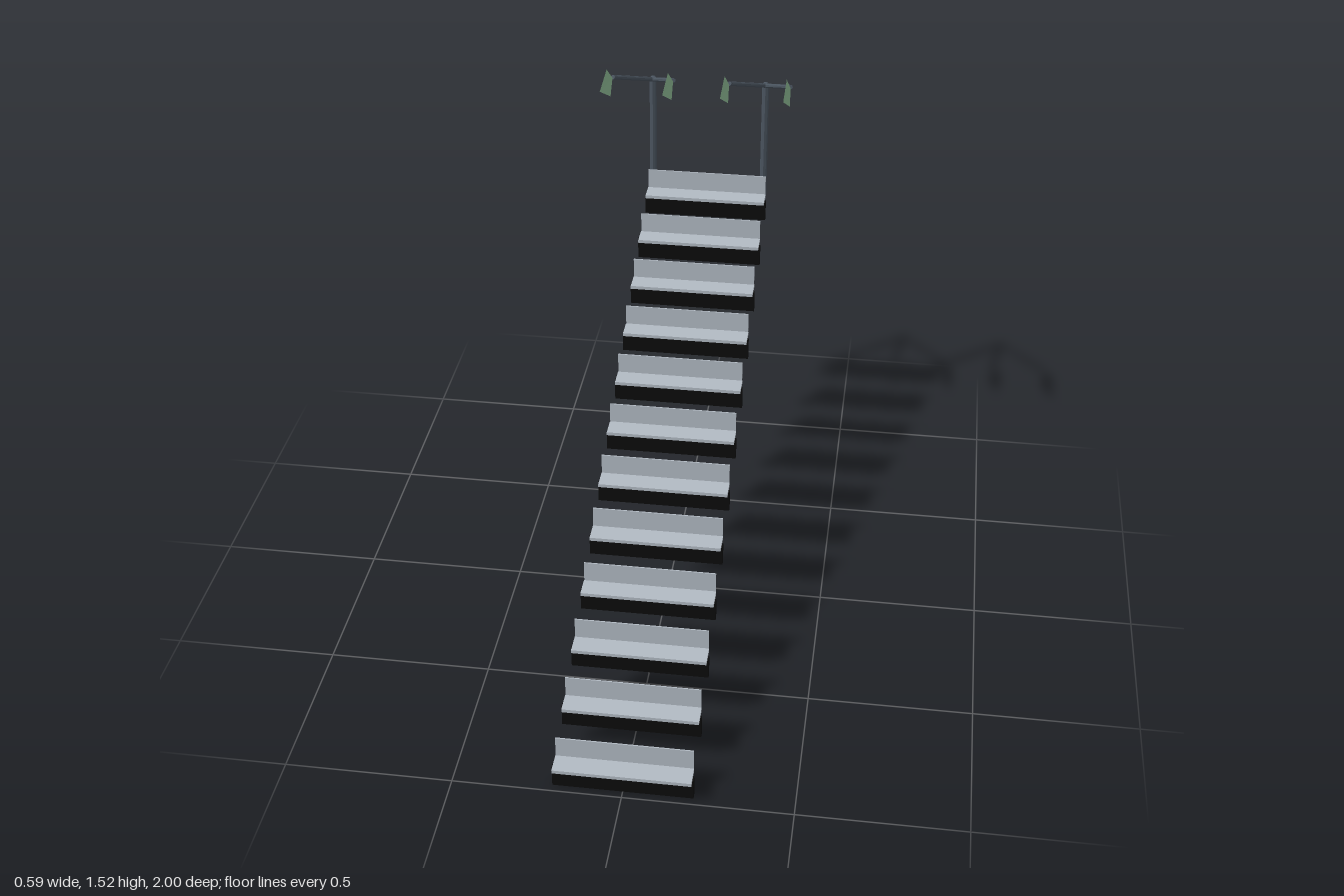
import * as THREE from 'three';

const seatGrey = new THREE.MeshStandardMaterial({ color: 0xb2bac3 });
seatGrey.name = 'seat grey';
const supportBlack = new THREE.MeshStandardMaterial({ color: 0x0b0b0b });
supportBlack.name = 'support black';
const poleSteel = new THREE.MeshStandardMaterial({ color: 0x4a545f, flatShading: true });
poleSteel.name = 'pole steel';
const panelGreen = new THREE.MeshStandardMaterial({ color: 0x8ab590, side: THREE.DoubleSide });
panelGreen.name = 'panel green';

function mesh(parent, name, geometry, material, x = 0, y = 0, z = 0) {
  const m = new THREE.Mesh(geometry, material);
  m.name = name;
  m.position.set(x, y, z);
  parent.add(m);
  return m;
}

// Straight rod between two points
function rod(parent, name, a, b, radius) {
  const dir = b.clone().sub(a);
  const mid = a.clone().add(b).multiplyScalar(0.5);
  const m = mesh(parent, name, new THREE.CylinderGeometry(radius, radius, dir.length(), 8), poleSteel, mid.x, mid.y, mid.z);
  m.quaternion.setFromUnitVectors(new THREE.Vector3(0, 1, 0), dir.normalize());
}

// Thin leaning kite, relative to the end of its arm
function panelGeometry() {
  const g = new THREE.BufferGeometry();
  g.setAttribute('position', new THREE.Float32BufferAttribute([
    0, 0, 0.008,
    0.007, -0.026, 0.094,
    -0.006, 0.044, 0.217,
    -0.008, 0.057, 0.072,
  ], 3));
  g.setIndex([0, 2, 1, 0, 3, 2]);
  const flat = g.toNonIndexed();
  flat.computeVertexNormals();
  return flat;
}

export function createModel() {
  const model = new THREE.Group();
  model.name = 'bleachers';

  // Twelve rising rows of benches
  const seatGeo = new THREE.BoxGeometry(0.406, 0.011, 0.064);
  const backGeo = new THREE.BoxGeometry(0.404, 0.066, 0.004);
  const supportGeo = new THREE.BoxGeometry(0.414, 0.069, 0.015);
  for (let i = 0; i < 12; i++) {
    const row = new THREE.Group();
    row.name = 'benchRow' + (i + 1);
    row.position.set(0, i * 0.0815, -i * 0.1711);
    mesh(row, 'seat', seatGeo, seatGrey, 0, 0.0735, 0.968);
    mesh(row, 'backrest', backGeo, seatGrey, 0, 0.112, 0.934);
    mesh(row, 'support', supportGeo, supportBlack, 0, 0.0345, 0.968);
    model.add(row);
  }

  // Two forked poles, each holding two green panels
  const panelGeo = panelGeometry();
  for (const side of [-1, 1]) {
    const post = new THREE.Group();
    post.name = side > 0 ? 'leftForkedPole' : 'rightForkedPole';
    const top = new THREE.Vector3(side * 0.19, 1.36, -0.985);
    rod(post, 'pole', new THREE.Vector3(top.x, 0.896, top.z), top, 0.012);
    mesh(post, 'joint', new THREE.SphereGeometry(0.013, 8, 6), poleSteel, top.x, top.y, top.z);
    for (const fork of [-1, 1]) {
      const end = new THREE.Vector3(top.x + fork * 0.099, 1.459, -0.762);
      rod(post, 'arm', top, end, 0.0075);
      mesh(post, 'panel', panelGeo, panelGreen, end.x, end.y, end.z);
    }
    model.add(post);
  }
  return model;
}
